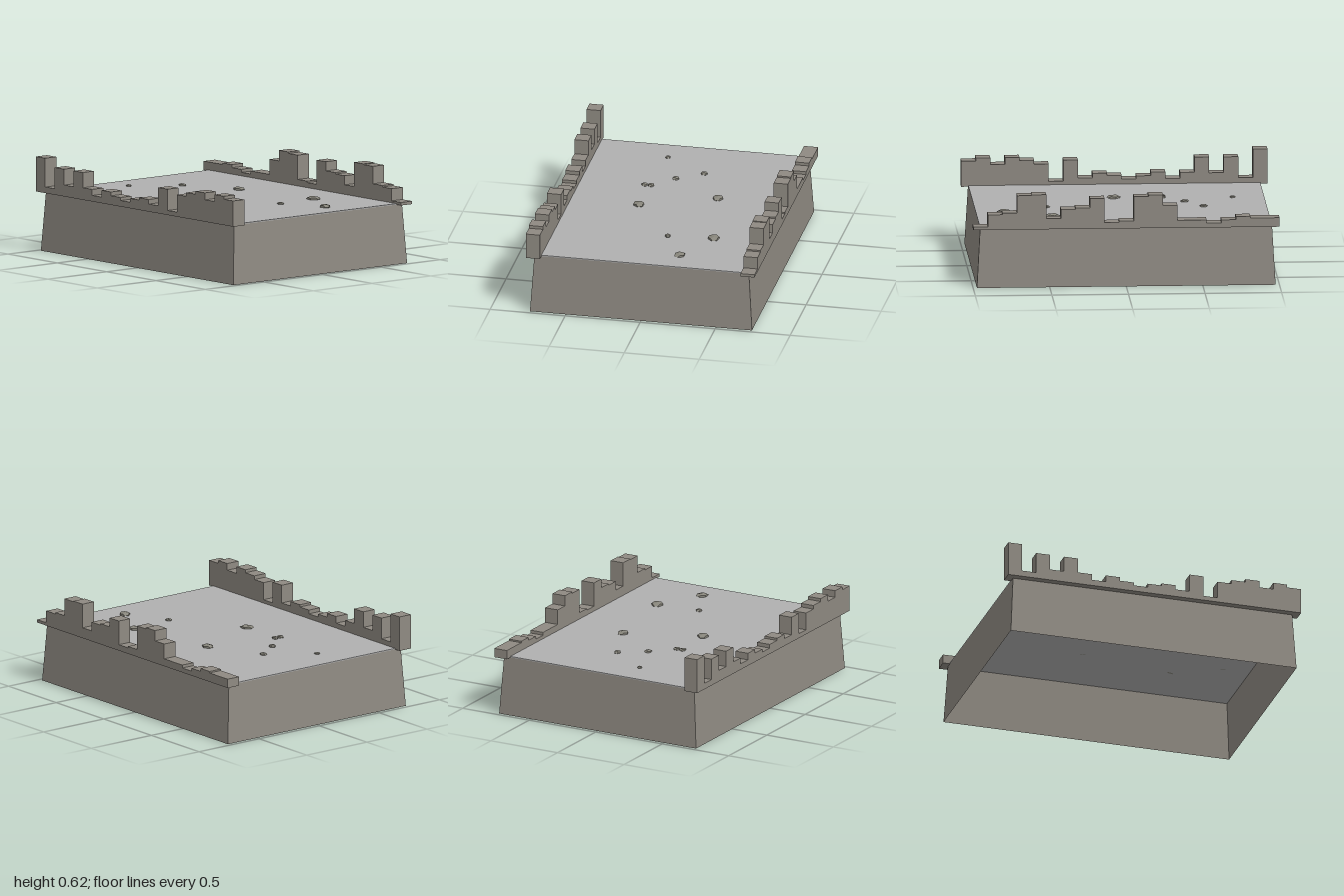
import * as THREE from 'three';

export function createModel() {
  const model = new THREE.Group();
  const stone = new THREE.MeshStandardMaterial({ color: 0x8f8a82, side: THREE.DoubleSide });
  stone.name = 'wall stone';
  const paving = new THREE.MeshStandardMaterial({ color: 0xb0b0b0 });
  paving.name = 'pale paving';
  const rubble = new THREE.MeshStandardMaterial({ color: 0x88867c, flatShading: true });
  rubble.name = 'rubble stone';

  const add = (parent, name, geometry, material, x = 0, y = 0, z = 0) => {
    const mesh = new THREE.Mesh(geometry, material);
    mesh.name = name;
    mesh.position.set(x, y, z);
    parent.add(mesh);
    return mesh;
  };

  // Hollow base: four walls leaning inwards, open underneath
  const corners = [[-1, 1], [1, 1], [1, -1], [-1, -1]];
  const bottom = corners.map(([x, z]) => [x * 0.975, 0, z * 0.74]);
  const top = corners.map(([x, z]) => [x * 0.953, 0.39, z * 0.715]);
  const positions = [];
  for (let i = 0; i < 4; i++) {
    const j = (i + 1) % 4;
    positions.push(...bottom[i], ...bottom[j], ...top[j], ...bottom[i], ...top[j], ...top[i]);
  }
  const walls = new THREE.BufferGeometry();
  walls.setAttribute('position', new THREE.Float32BufferAttribute(positions, 3));
  walls.computeVertexNormals();
  add(model, 'baseWalls', walls, stone);

  // Floor slab on top of the walls
  add(model, 'floorSlab', new THREE.BoxGeometry(1.906, 0.009, 1.43), paving, 0, 0.3925, 0);

  // Ruined parapets: rows of equal blocks with uneven tops, from -x to +x
  const parapets = {
    frontParapet: [0.715, [0.62, 0.43, 0.57, 0.465, 0.57, 0.47, 0.43, 0.475, 0.45, 0.43, 0.455,
      0.47, 0.44, 0.56, 0.42, 0.535, 0.56, 0.58, 0.535, 0.58, 0.56]],
    backParapet: [-0.715, [0.45, 0.45, 0.46, 0.44, 0.42, 0.44, 0.44, 0.54, 0.61, 0.6, 0.44,
      0.43, 0.59, 0.53, 0.52, 0.46, 0.62, 0.615, 0.5, 0.49, 0.41]],
  };
  const base = 0.39;
  for (const [name, [z, tops]] of Object.entries(parapets)) {
    const row = new THREE.Group();
    row.name = name;
    const width = 2 / tops.length;
    tops.forEach((y, i) => {
      add(row, 'parapetBlock', new THREE.BoxGeometry(width, y - base, 0.094), stone,
        -1 + (i + 0.5) * width, (y + base) / 2, z);
    });
    model.add(row);
  }

  // Loose flattened rubble on the floor: x, z, radius
  const stones = [
    [-0.17, -0.27, 0.043], [0.46, -0.375, 0.047], [0.77, -0.215, 0.043], [0.485, -0.075, 0.024],
    [-0.54, -0.1, 0.027], [-0.425, 0.065, 0.028], [-0.745, 0.185, 0.02], [-0.285, 0.2, 0.026],
    [-0.285, 0.243, 0.026], [0.03, 0.215, 0.045],
  ];
  const pile = new THREE.Group();
  pile.name = 'rubble';
  stones.forEach(([x, z, r], i) => {
    const rock = add(pile, 'looseStone', new THREE.DodecahedronGeometry(1, 0), rubble, x, 0.402, z);
    rock.scale.set(r * 1.05, r * 0.3 + 0.003, r * 0.85);
    rock.rotation.y = Math.sin(i * 2.3) * 0.4;
  });
  model.add(pile);

  return model;
}
